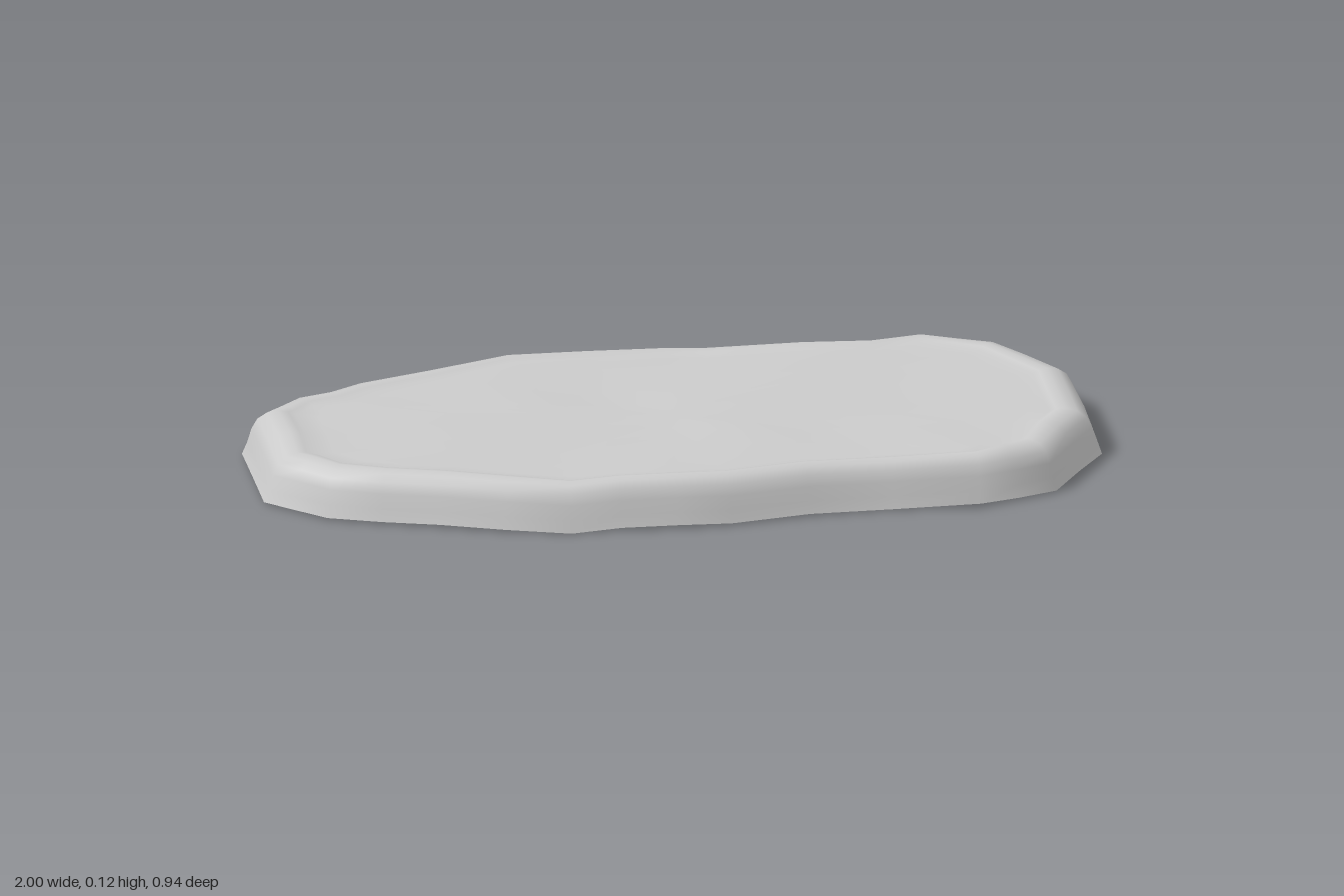
import * as THREE from 'three';

// Base outline [x, z], running along the back, round the +x end and along the front
const outline = [
  [-1, 0], [-1, -0.17], [-0.94, -0.235], [-0.87, -0.29], [-0.79, -0.31], [-0.71, -0.36], [-0.53, -0.415],
  [-0.33, -0.475], [-0.14, -0.47], [0.05, -0.475], [0.15, -0.46], [0.37, -0.44], [0.53, -0.44],
  [0.655, -0.457], [0.75, -0.425], [0.845, -0.39], [0.92, -0.28], [0.99, -0.16], [0.995, 0], [0.99, 0.15],
  [0.92, 0.26], [0.845, 0.375], [0.75, 0.41], [0.655, 0.445], [0.45, 0.425], [0.25, 0.435],
  [0.06, 0.465], [-0.07, 0.47], [-0.2, 0.455], [-0.32, 0.46], [-0.47, 0.425], [-0.62, 0.37],
  [-0.75, 0.325], [-0.87, 0.28], [-0.94, 0.21], [-1, 0.15],
];

// Edge cross-section [inset, height]: flared skirt, rounded crown, dip to the floor
const profile = [[0, 0.011], [0.007, 0.04], [0.013, 0.075], [0.021, 0.1], [0.034, 0.116], [0.05, 0.122],
  [0.063, 0.119], [0.072, 0.113]];
const floorScales = [0.94, 0.8, 0.6, 0.4, 0.2];

// Gentle hand-made unevenness
const wave = (x, z) => 0.003 * Math.sin(9 * x + 4 * z) + 0.0025 * Math.sin(17 * x - 6 * z);

function createShell() {
  const n = outline.length;
  const pos = [];
  const index = [];

  // Edge rings, inset along the outline's inward normal and wider at the two ends
  for (const [inset, y] of profile) {
    outline.forEach(([x, z], j) => {
      const p = outline[(j + n - 1) % n], q = outline[(j + 1) % n];
      const dx = q[0] - p[0], dz = q[1] - p[1], len = Math.hypot(dx, dz);
      const d = inset * (1 + 0.75 * Math.abs(dz / len));
      pos.push(x - (dz / len) * d, y + wave(x, z), z + (dx / len) * d);
    });
  }

  // Floor rings shrinking to the middle
  const last = pos.slice(-3 * n);
  for (const k of floorScales) {
    for (let j = 0; j < n; j++) {
      const x = last[3 * j] * k, z = last[3 * j + 2] * k;
      pos.push(x, 0.112 + wave(x, z) * 0.8, z);
    }
  }
  pos.push(0, 0.112, 0);

  const rings = profile.length + floorScales.length;
  for (let r = 0; r < rings; r++) {
    for (let j = 0; j < n; j++) {
      const a = r * n + j, b = r * n + (j + 1) % n;
      if (r === rings - 1) index.push(a, rings * n, b);
      else index.push(a, a + n, b, b, a + n, b + n);
    }
  }

  const geometry = new THREE.BufferGeometry();
  geometry.setAttribute('position', new THREE.Float32BufferAttribute(pos, 3));
  geometry.setIndex(index);
  geometry.computeVertexNormals();
  return geometry;
}

export function createModel() {
  const group = new THREE.Group();
  group.name = 'shallowSlab';
  const material = new THREE.MeshStandardMaterial({ color: 0xcccccc, side: THREE.DoubleSide });
  const shell = new THREE.Mesh(createShell(), material);
  shell.name = 'rimmedShell';
  group.add(shell);
  return group;
}
